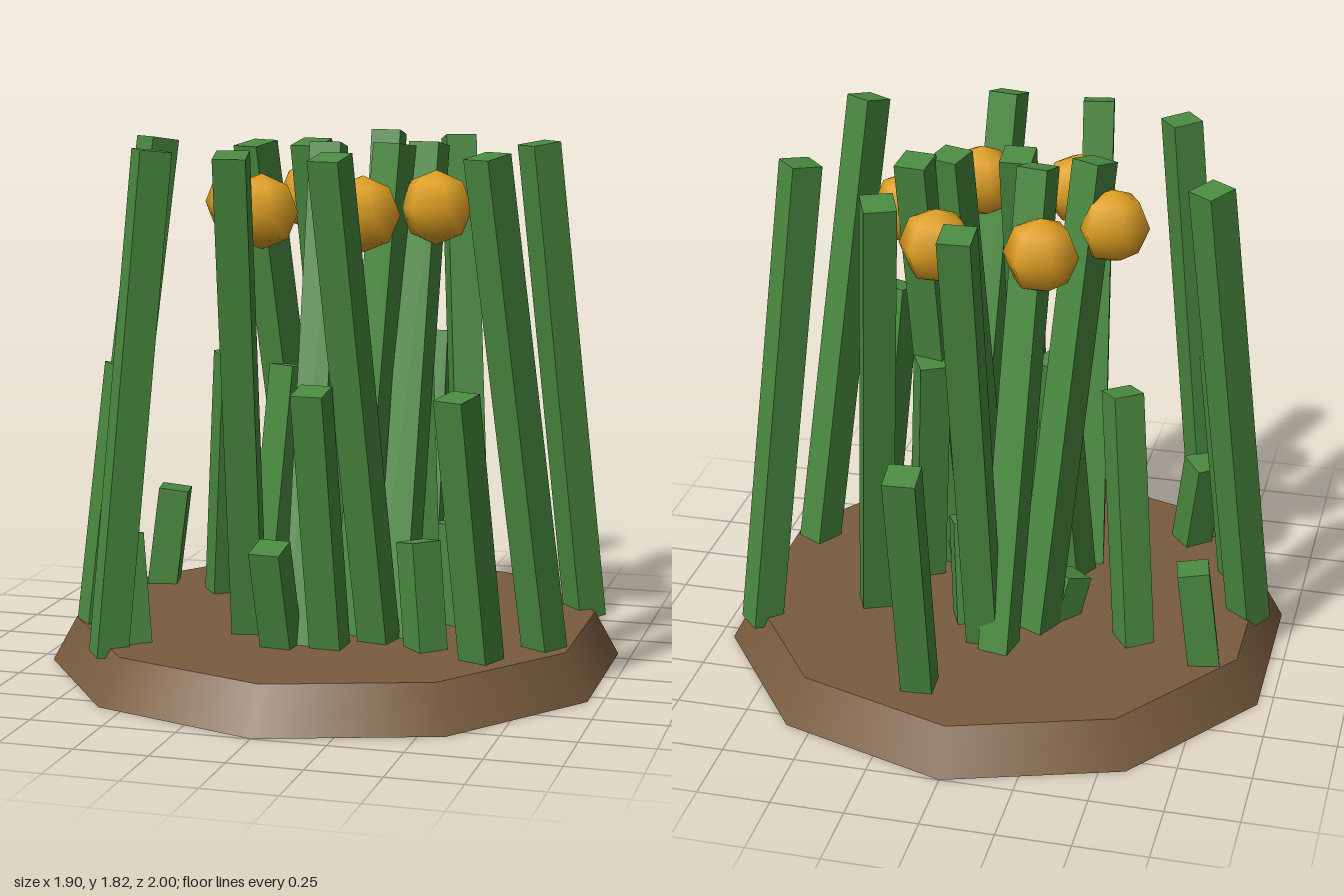
import * as THREE from 'three';

export function createModel() {
  const model = new THREE.Group();
  const soil = new THREE.MeshStandardMaterial({ color: 0x7a5c3f });
  soil.name = 'soilBrown';
  const green = new THREE.MeshStandardMaterial({ color: 0x4a8a40 });
  green.name = 'stalkGreen';
  const amber = new THREE.MeshStandardMaterial({ color: 0xe0a022 });
  amber.name = 'fruitAmber';

  // Ten-sided base
  const base = new THREE.Mesh(new THREE.CylinderGeometry(0.915, 1, 0.155, 10), soil);
  base.name = 'base';
  base.position.y = 0.0775;
  model.add(base);

  // Square stalk leaning from its foot to its tip
  const up = new THREE.Vector3(0, 1, 0);
  function stalk(name, tipY, [footX, footZ, tipX, tipZ]) {
    const foot = new THREE.Vector3(footX, 0.12, footZ);
    const tip = new THREE.Vector3(tipX, tipY, tipZ);
    const axis = tip.clone().sub(foot);
    const length = axis.length();
    axis.normalize();
    const side = new THREE.Vector3().crossVectors(up, axis).normalize();
    const front = new THREE.Vector3().crossVectors(side, axis);
    const mesh = new THREE.Mesh(new THREE.BoxGeometry(0.108, length, 0.108), green);
    mesh.quaternion.setFromRotationMatrix(new THREE.Matrix4().makeBasis(side, axis, front));
    mesh.position.copy(foot).add(tip).multiplyScalar(0.5);
    mesh.name = name;
    model.add(mesh);
  }

  // Foot x, foot z, tip x, tip z for each height of stalk
  const stalks = [
    ['tallStalk', 1.81, [
      [0.01, -0.33, 0.0, -0.7], [0.45, -0.18, 0.31, -0.5],
      [-0.86, 0.06, -0.7, -0.14], [0.82, -0.36, 0.66, -0.21],
      [0.79, 0.22, 0.63, 0.48], [-0.63, 0.6, -0.49, 0.5],
      [-0.23, 0.29, -0.17, 0.64], [0.23, 0.28, 0.16, 0.65],
      [-0.01, 0.39, -0.02, 0.03], [0.12, 0.21, 0.2, -0.02],
      [0.26, 0.2, 0.3, -0.1], [-0.15, -0.22, -0.28, 0.04],
      [-0.05, -0.39, -0.11, -0.06],
    ]],
    ['mediumStalk', 1.05, [
      [0.15, -0.68, 0.14, -0.88], [-0.5, -0.23, -0.42, -0.12],
      [-0.79, 0.3, -0.7, 0.22], [0.62, 0.43, 0.56, 0.58],
      [0.09, 0.4, 0.08, 0.59], [-0.2, 0.2, -0.14, 0.08],
      [0.33, 0.08, 0.27, -0.03],
    ]],
    ['shortStalk', 0.51, [
      [0.41, 0.35, 0.37, 0.31], [-0.07, 0.43, -0.08, 0.54],
      [-0.76, -0.3, -0.71, -0.31], [0.09, -0.22, 0.12, -0.15],
      [0.45, 0.0, 0.41, -0.02], [-0.57, 0.53, -0.62, 0.47],
    ]],
    ['stubStalk', 0.3, [
      [-0.2, -0.13, -0.24, -0.08], [0.17, 0.14, 0.18, 0.1],
    ]],
  ];
  for (const [name, tipY, list] of stalks) {
    for (const ends of list) stalk(name, tipY, ends);
  }

  // Ring of six fruits
  const fruitGeometry = new THREE.SphereGeometry(0.127, 6, 4);
  for (let i = 0; i < 6; i++) {
    const a = (i * Math.PI) / 3;
    const fruit = new THREE.Mesh(fruitGeometry, amber);
    fruit.name = 'fruit';
    fruit.position.set(0.35 * Math.cos(a), 1.6, 0.35 * Math.sin(a));
    model.add(fruit);
  }
  return model;
}
